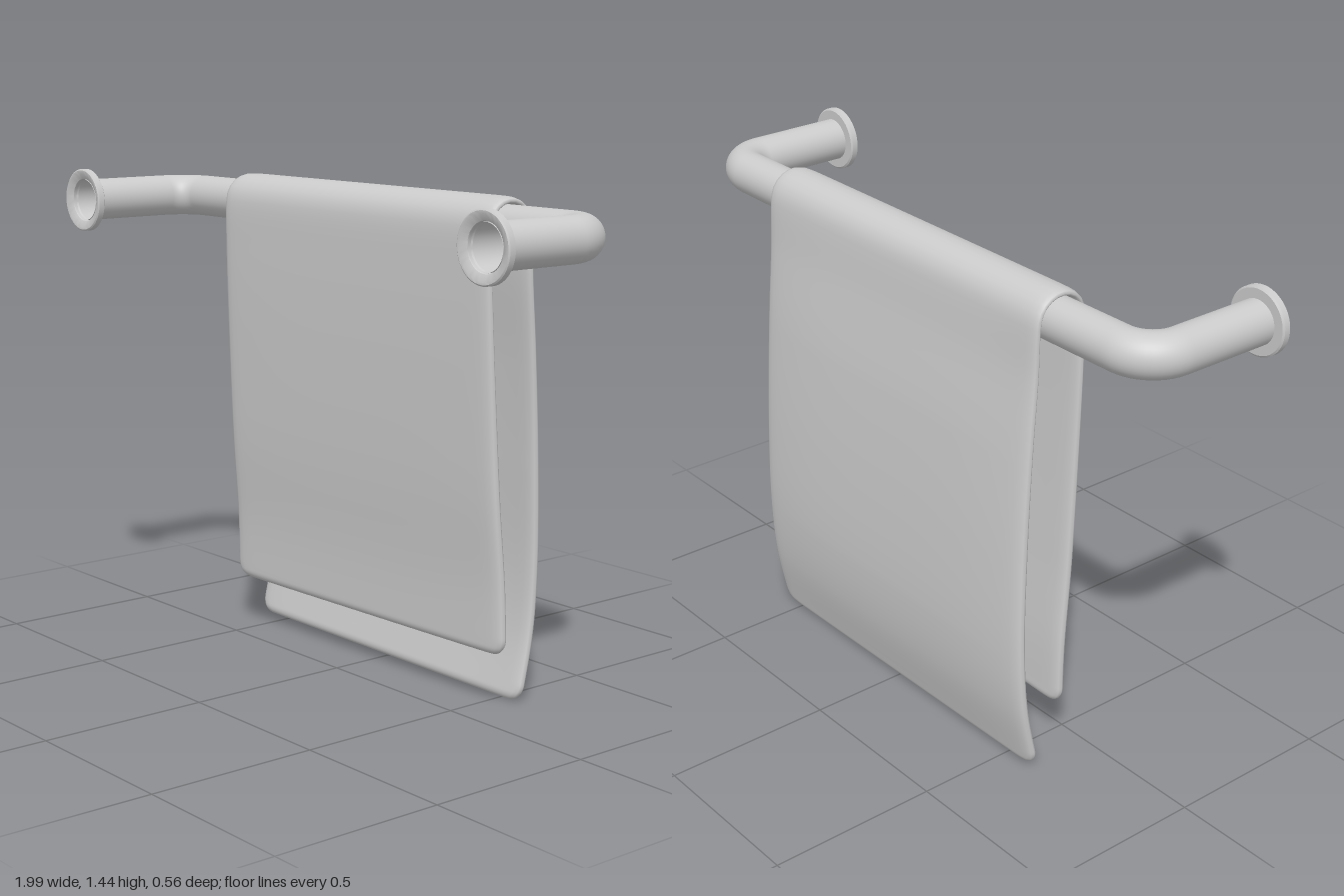
import * as THREE from 'three';
import { toCreasedNormals } from 'three/addons/utils/BufferGeometryUtils.js';

const BAR_Y = 1.34, BAR_Z = -0.12, BAR_R = 0.0625, POST_X = 0.9, WALL_Z = 0.27;

const makeMaterial = () => new THREE.MeshStandardMaterial({ color: 0xcccccc, side: THREE.DoubleSide });

// Hollow pipe: wall post, bend, long bar, bend, wall post
function makeBar(material) {
  const r = 0.1, k = r * 0.448;
  const v = (x, z) => new THREE.Vector3(x, BAR_Y, z);
  const path = new THREE.CurvePath();
  path.add(new THREE.LineCurve3(v(-POST_X, WALL_Z), v(-POST_X, BAR_Z + r)));
  path.add(new THREE.CubicBezierCurve3(
    v(-POST_X, BAR_Z + r), v(-POST_X, BAR_Z + k), v(-POST_X + k, BAR_Z), v(-POST_X + r, BAR_Z)));
  path.add(new THREE.LineCurve3(v(-POST_X + r, BAR_Z), v(POST_X - r, BAR_Z)));
  path.add(new THREE.CubicBezierCurve3(
    v(POST_X - r, BAR_Z), v(POST_X - k, BAR_Z), v(POST_X, BAR_Z + k), v(POST_X, BAR_Z + r)));
  path.add(new THREE.LineCurve3(v(POST_X, BAR_Z + r), v(POST_X, WALL_Z)));
  const bar = new THREE.Mesh(new THREE.TubeGeometry(path, 180, BAR_R, 40), material);
  bar.name = 'bar';
  return bar;
}

// Dished ring at the wall end of a post
function makeFlange(x, name, material) {
  const profile = [
    [0.061, 0.255], [0.09, 0.255], [0.095, 0.259], [0.095, 0.277],
    [0.091, 0.28], [0.084, 0.28], [0.065, 0.27], [0.061, 0.255],
  ].map(([r, h]) => new THREE.Vector2(r, h));
  const geometry = toCreasedNormals(new THREE.LatheGeometry(profile, 48), 0.6);
  geometry.rotateX(Math.PI / 2);
  const flange = new THREE.Mesh(geometry, material);
  flange.position.set(x, BAR_Y, 0);
  flange.name = name;
  return flange;
}

// Towel: a thin rounded cross-section swept up the front, over the bar and down the back
function makeTowel(material) {
  const front = [[0.16, -0.087], [0.35, -0.084], [0.6, -0.067], [0.95, -0.052], [1.2, -0.045]];
  const back = [[1.2, -0.202], [1.0, -0.219], [0.7, -0.238], [0.4, -0.246], [0.2, -0.234], [0.004, -0.196]];
  const over = [];
  for (let i = 0; i <= 8; i++) {
    const a = (i / 8) * Math.PI;
    over.push([BAR_Y + 0.073 * Math.sin(a), BAR_Z + 0.075 * Math.cos(a)]);
  }
  const path = new THREE.CatmullRomCurve3(
    [...front, ...over, ...back].map(([y, z]) => new THREE.Vector3(0, y, z)));
  path.arcLengthDivisions = 1500;
  const length = path.getLength();

  const rows = 200, half = 26, cols = half * 2;
  const positions = [], indices = [];
  for (let i = 0; i <= rows; i++) {
    const s = (1 - Math.cos((Math.PI * i) / rows)) / 2;
    const p = path.getPointAt(s), t = path.getTangentAt(s);
    const isFront = p.z > BAR_Z;
    const drop = Math.max(0, (BAR_Y - p.y) / BAR_Y);

    // Rounded corners and rounded thickness at both hems
    const d = Math.min(s, 1 - s) * length;
    const round = (r) => Math.sqrt(Math.max(0, 1 - Math.max(0, 1 - d / r) ** 2));
    const inset = 0.05 * (1 - round(0.05));
    const thick = (0.0115 + 0.005 * Math.min(1, drop * 2)) * round(0.025);

    // The two hanging halves drift sideways in opposite directions
    const left = (isFront ? 0.59 + 0.039 * drop : 0.59 - 0.014 * drop) - inset;
    const right = (isFront ? -0.588 : -0.588 - 0.025 * drop) + inset;
    const bow = (isFront ? 0.004 : 0.016) * Math.min(1, 5 * drop * (1 - drop));
    const skew = (isFront ? 0.007 : -0.004) * drop;

    for (let j = 0; j < cols; j++) {
      const outer = j <= half;
      const u = Math.sin(Math.PI * ((outer ? j : cols - j) / half - 0.5));
      const n = (outer ? 1 : -1) * thick * Math.sqrt(Math.max(0, 1 - Math.abs(u) ** 40))
        + bow * (1 - u ** 4);
      positions.push(
        (left + right) / 2 + (u * (left - right)) / 2,
        p.y - t.z * n + skew * u,
        p.z + t.y * n);
      if (i < rows) {
        const a = i * cols + j, b = i * cols + ((j + 1) % cols);
        indices.push(a, b, a + cols, b, b + cols, a + cols);
      }
    }
  }
  const geometry = new THREE.BufferGeometry();
  geometry.setAttribute('position', new THREE.Float32BufferAttribute(positions, 3));
  geometry.setIndex(indices);
  geometry.computeVertexNormals();
  const towel = new THREE.Mesh(geometry, material);
  towel.name = 'towel';
  return towel;
}

export function createModel() {
  const group = new THREE.Group();
  group.name = 'towelRail';
  const material = makeMaterial();
  group.add(
    makeBar(material),
    makeFlange(POST_X, 'leftFlange', material),
    makeFlange(-POST_X, 'rightFlange', material),
    makeTowel(material));
  return group;
}
